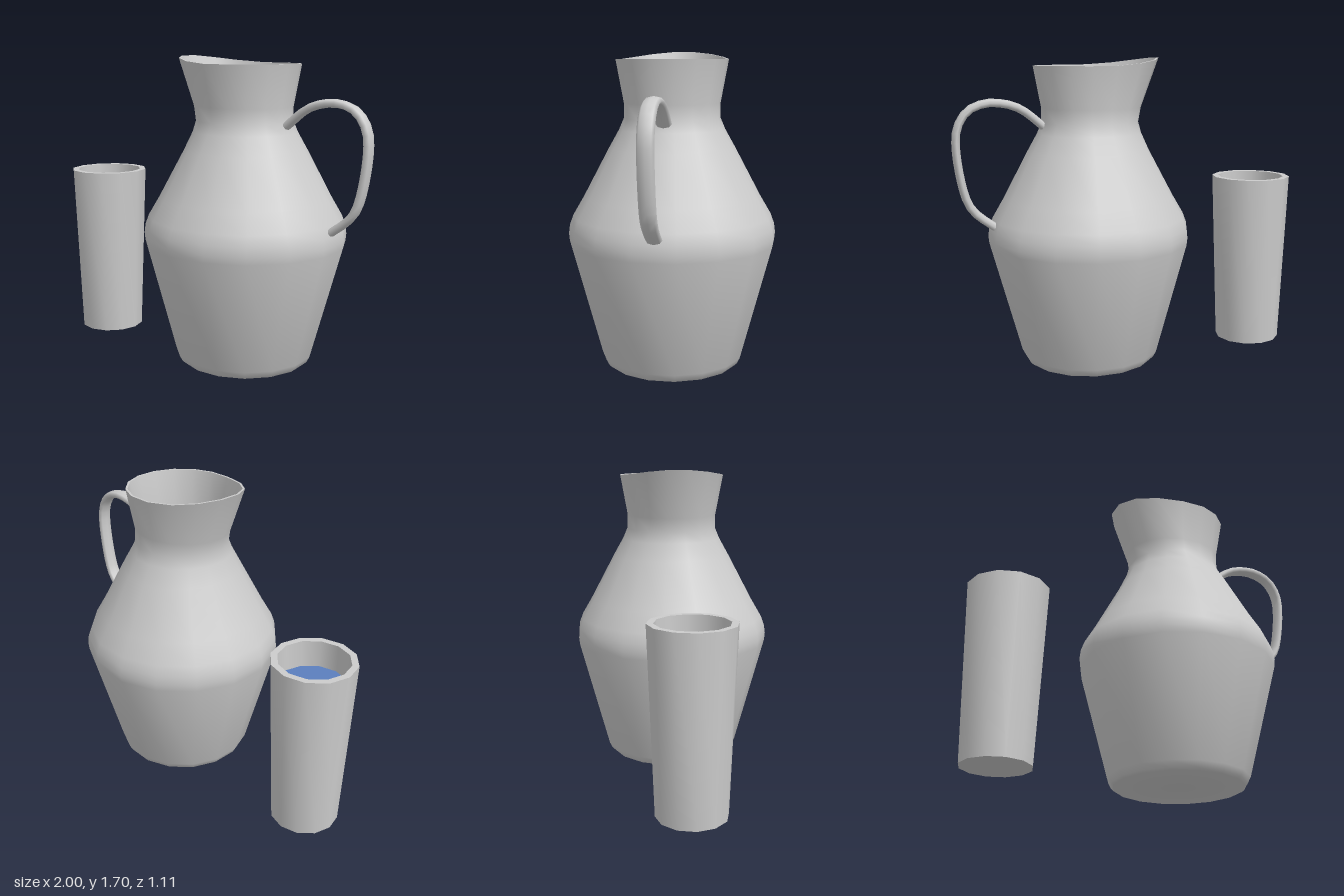
import * as THREE from 'three';
import { toCreasedNormals } from 'three/addons/utils/BufferGeometryUtils.js';

const grey = new THREE.MeshStandardMaterial({ color: 0xcccccc });
const blue = new THREE.MeshStandardMaterial({ color: 0x5b7fbd });

const JUG_X = 0.245, JUG_SIDES = 16;
const GLASS_X = -0.773, GLASS_SIDES = 12;

function addMesh(parent, name, geometry, material) {
  const mesh = new THREE.Mesh(geometry, material);
  mesh.name = name;
  parent.add(mesh);
  return mesh;
}

// Lathe from [radius, height] pairs
function lathe(profile, sides, phiStart = 0) {
  return new THREE.LatheGeometry(profile.map(([r, y]) => new THREE.Vector2(r, y)), sides, phiStart);
}

// Pull the neck out towards -x into a spout and lift its lip
function shapeSpout(geometry) {
  const p = geometry.attributes.position;
  for (let i = 0; i < p.count; i++) {
    const x = p.getX(i), y = p.getY(i), z = p.getZ(i);
    const r = Math.hypot(x, z);
    const lean = r > 0 ? Math.max(0, -x / r) : 0;
    const t = THREE.MathUtils.clamp((y - 1.19) / 0.47, 0, 1);
    p.setX(i, x - 0.1 * lean * Math.pow(t, 1.4));
    p.setY(i, y + 0.042 * lean * lean * THREE.MathUtils.clamp((y - 1.43) / 0.23, 0, 1));
  }
  return geometry;
}

function createJug() {
  const jug = new THREE.Group();
  jug.name = 'jug';
  jug.position.x = JUG_X;

  // Outer wall, given as half-widths across the flat sides
  const k = 1 / Math.cos(Math.PI / JUG_SIDES);
  const outer = [
    [0.355, 0], [0.368, 0.012], [0.385, 0.045], [0.552, 0.68], [0.556, 0.72],
    [0.55, 0.77], [0.53, 0.825], [0.47, 0.93], [0.335, 1.19], [0.28, 1.29],
    [0.255, 1.35], [0.254, 1.43], [0.295, 1.66],
  ].map(([r, y]) => [r * k, y]);
  // Thin inner wall back down to the floor
  const inner = outer.slice(2).reverse().map(([r, y]) => [r - 0.012, y]);
  const body = lathe([[0, 0], ...outer, ...inner, [0, 0.045]], JUG_SIDES, Math.PI / JUG_SIDES);
  addMesh(jug, 'jugBody', toCreasedNormals(shapeSpout(body), 0.75), grey);

  // Water surface in the neck
  const water = lathe([[0.246 * k, 1.43], [0, 1.43]], JUG_SIDES, Math.PI / JUG_SIDES);
  addMesh(jug, 'jugWater', toCreasedNormals(shapeSpout(water), 0.75), blue);

  // Handle: a strap-like tube, widened along z
  const path = new THREE.CatmullRomCurve3([
    [0.235, 1.315], [0.38, 1.43], [0.48, 1.462], [0.58, 1.462], [0.67, 1.42],
    [0.728, 1.31], [0.695, 0.98], [0.65, 0.885], [0.515, 0.775],
  ].map(([x, y]) => new THREE.Vector3(x, y, 0)), false, 'centripetal');
  const handle = addMesh(jug, 'jugHandle', new THREE.TubeGeometry(path, 24, 0.0225, 8), grey);
  handle.scale.z = 1.9;
  return jug;
}

function createGlass() {
  const glass = new THREE.Group();
  glass.name = 'glass';
  glass.position.x = GLASS_X;

  // Tapered tumbler with a thick rim and a floor
  const wall = lathe([
    [0, 0], [0.19, 0], [0.229, 1], [0.193, 1], [0.16, 0.05], [0, 0.05],
  ], GLASS_SIDES);
  addMesh(glass, 'glassBody', toCreasedNormals(wall, 0.75), grey);

  const water = lathe([[0.188, 0.85], [0, 0.85]], GLASS_SIDES);
  addMesh(glass, 'glassWater', toCreasedNormals(water, 0.75), blue);
  return glass;
}

export function createModel() {
  const model = new THREE.Group();
  model.name = 'jugAndGlass';
  model.add(createJug(), createGlass());
  return model;
}
